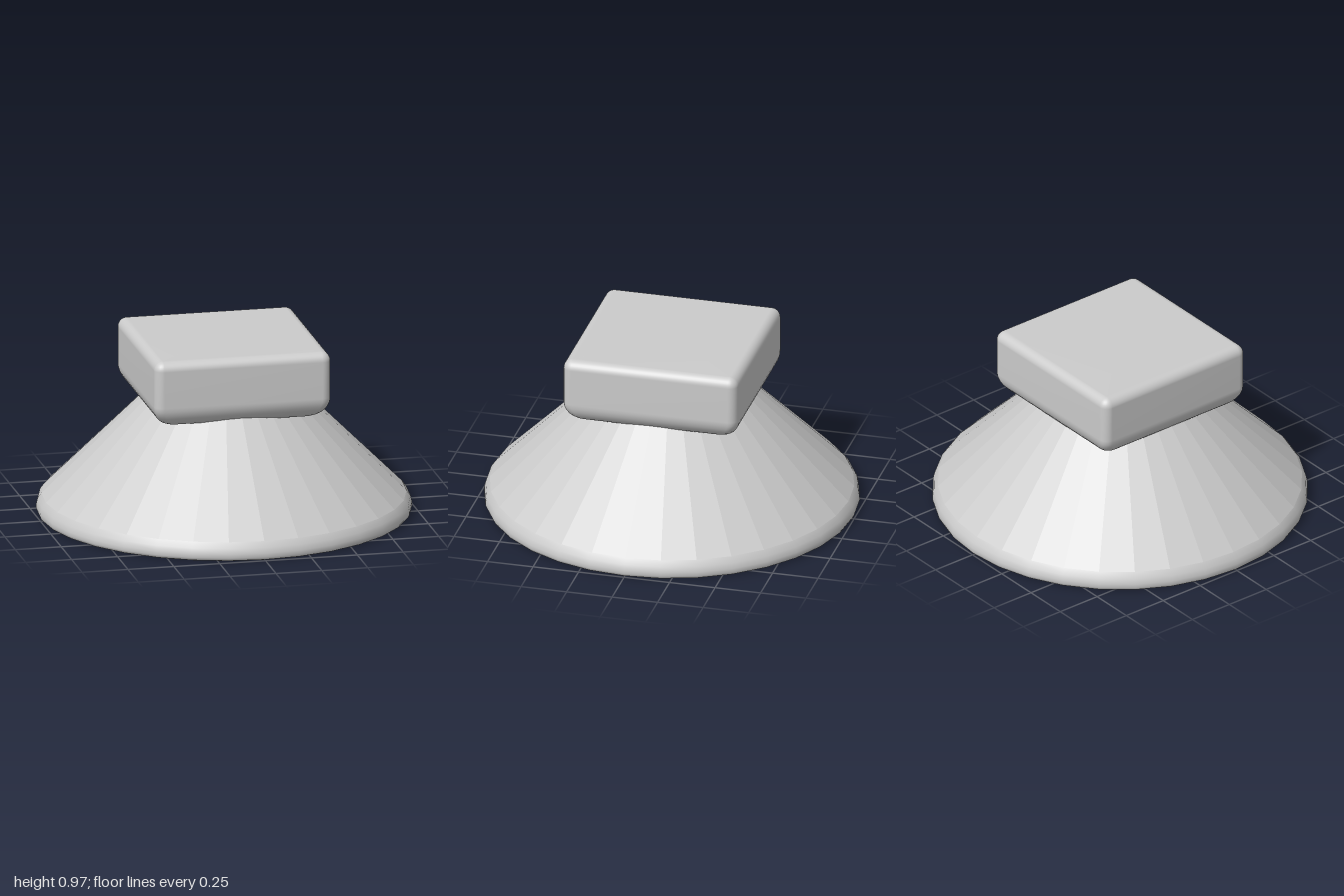
import * as THREE from 'three';

const SIDES = 32;
const material = new THREE.MeshStandardMaterial({ color: 0xcccccc });
const faceted = new THREE.MeshStandardMaterial({ color: 0xcccccc, flatShading: true });

function lathe(name, points, mat) {
  const profile = points.map(([r, y]) => new THREE.Vector2(r, y));
  const mesh = new THREE.Mesh(new THREE.LatheGeometry(profile, SIDES), mat);
  mesh.name = name;
  return mesh;
}

// Square block with rounded corners, a small top bevel and a larger bottom bevel
function blockGeometry(half, bottom, top, topBevel, bottomBevel) {
  const steps = 8, cornerSteps = 6;
  const rings = [];
  for (let i = 0; i <= steps; i++) {
    const a = (i / steps) * Math.PI / 2;
    rings.push({
      y: bottom + bottomBevel * (1 - Math.cos(a)),
      h: half - bottomBevel * (1 - Math.sin(a)),
      r: topBevel,
    });
  }
  for (let i = 0; i <= steps; i++) {
    const a = (i / steps) * Math.PI / 2;
    const inset = topBevel * (1 - Math.cos(a));
    rings.push({ y: top - topBevel * (1 - Math.sin(a)), h: half - inset, r: Math.max(topBevel - inset, 0.002) });
  }

  const pos = [], index = [];
  const n = 4 * (cornerSteps + 1);
  for (const { y, h, r } of rings) {
    for (let c = 0; c < 4; c++) {
      const mid = (c + 0.5) * Math.PI / 2;
      const cx = Math.sign(Math.sin(mid)) * (h - r);
      const cz = Math.sign(Math.cos(mid)) * (h - r);
      for (let k = 0; k <= cornerSteps; k++) {
        const a = (c + k / cornerSteps) * Math.PI / 2;
        pos.push(cx + r * Math.sin(a), y, cz + r * Math.cos(a));
      }
    }
  }
  for (let i = 0; i < rings.length - 1; i++) {
    for (let j = 0; j < n; j++) {
      const a = i * n + j, b = i * n + (j + 1) % n;
      index.push(a, b, b + n, a, b + n, a + n);
    }
  }
  // Flat caps
  const low = rings.length * n, high = low + 1, last = (rings.length - 1) * n;
  pos.push(0, bottom, 0, 0, top, 0);
  for (let j = 0; j < n; j++) {
    const k = (j + 1) % n;
    index.push(low, k, j, high, last + j, last + k);
  }
  const geo = new THREE.BufferGeometry();
  geo.setAttribute('position', new THREE.Float32BufferAttribute(pos, 3));
  geo.setIndex(index);
  geo.computeVertexNormals();
  return geo;
}

export function createModel() {
  const model = new THREE.Group();
  model.name = 'suctionFoot';

  // Flared cup: faceted outside and hollow inside, joined by a smooth rounded lip
  model.add(lathe('cupOuter', [[0.97, 0.1], [0.39, 0.68]], faceted));
  model.add(lathe('cupInner', [[0, 0.53], [0.97, 0.005]], faceted));
  model.add(lathe('cupLip', [
    [0.97, 0.005], [0.98, 0], [0.993, 0.005], [1, 0.02], [0.999, 0.04], [0.992, 0.07], [0.97, 0.1],
  ], material));

  // Block sitting on the neck of the cup
  const block = new THREE.Mesh(blockGeometry(0.48, 0.6, 0.97, 0.05, 0.12), material);
  block.name = 'topBlock';
  model.add(block);

  return model;
}
